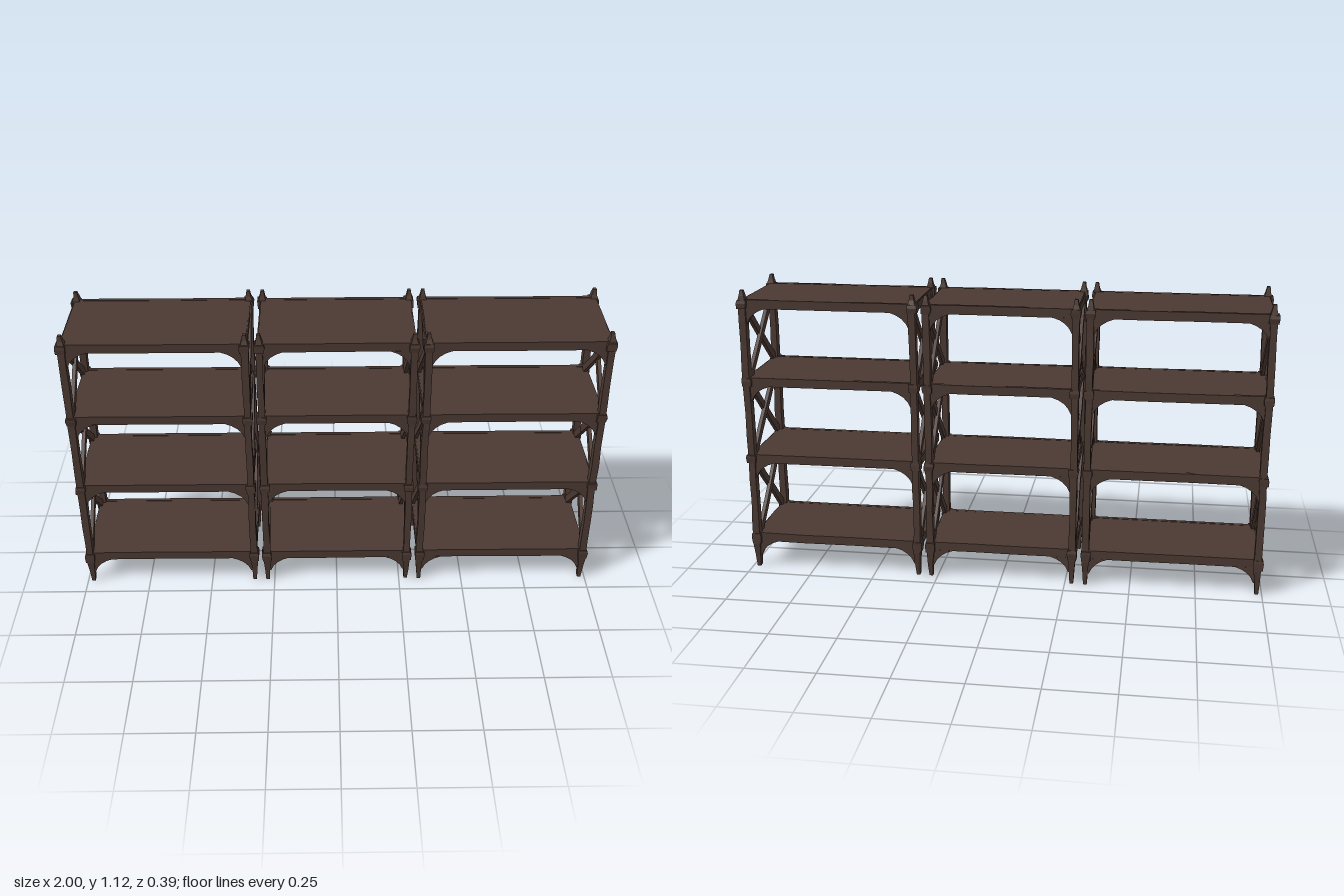
import * as THREE from 'three';

const wood = new THREE.MeshStandardMaterial({ color: 0x4b3932 });
wood.name = 'dark wood';

const BAYS = [[-1, -0.308], [-0.298, 0.298], [0.308, 1]];
const SHELF_TOPS = [0.145, 0.473, 0.782, 1.084];
const THICK = 0.034;
const POST_Z = 0.172;

// Seeded noise in -1..1, so rough timber always comes out the same
let seed = 7;
const noise = () => {
  seed = (seed * 16807) % 2147483647;
  return (seed / 2147483647) * 2 - 1;
};

function add(parent, geometry, name, x = 0, y = 0, z = 0) {
  const mesh = new THREE.Mesh(geometry, wood);
  mesh.name = name;
  mesh.position.set(x, y, z);
  parent.add(mesh);
  return mesh;
}

// Rough square timber along y, from rows of [y, width x, width z]
function timber(rows, rough = 0.0015) {
  const geo = new THREE.BoxGeometry(1, 1, 1, 1, rows.length - 1, 1);
  const shift = rows.map(() => [noise() * rough, noise() * rough]);
  const p = geo.attributes.position;
  for (let i = 0; i < p.count; i++) {
    const k = Math.round((p.getY(i) + 0.5) * (rows.length - 1));
    const [y, wx, wz] = rows[k];
    p.setXYZ(i, p.getX(i) * wx + shift[k][0], y, p.getZ(i) * wz + shift[k][1]);
  }
  const flat = geo.toNonIndexed();
  flat.computeVertexNormals();
  return flat;
}

// Post with a tapered foot, knotty shaft and small pointed top
function postGeometry() {
  const rows = [[0.005, 0.014, 0.02], [0.055, 0.02, 0.026], [0.1, 0.027, 0.036]];
  for (let y = 0.19; y < 1.04; y += 0.09) rows.push([y, 0.026 + noise() * 0.002, 0.034 + noise() * 0.002]);
  rows.push([1.085, 0.027, 0.032], [1.1, 0.019, 0.023], [1.12, 0.012, 0.015]);
  return timber(rows);
}

// Curved corner bracket, drawn with its corner at the origin
function bracketGeometry(side) {
  const s = new THREE.Shape();
  s.moveTo(0, 0);
  s.lineTo(side * 0.088, 0);
  s.quadraticCurveTo(side * 0.03, -0.015, side * 0.014, -0.062);
  s.lineTo(0, -0.062);
  return new THREE.ExtrudeGeometry(s, { depth: 0.018, bevelEnabled: false, curveSegments: 4 });
}

// Diagonal brace in the plane of a bay's end
function brace(parent, x, z0, y0, z1, y1) {
  const len = Math.hypot(z1 - z0, y1 - y0);
  const rows = [-0.5, -0.2, 0.15, 0.5].map((t) => [t * len, 0.014, 0.029 + noise() * 0.002]);
  const mesh = add(parent, timber(rows), 'crossBrace', x, (y0 + y1) / 2, (z0 + z1) / 2);
  mesh.rotation.x = Math.atan2(z1 - z0, y1 - y0);
}

function buildBay(x0, x1) {
  const bay = new THREE.Group();
  bay.name = 'shelfBay';
  const mid = (x0 + x1) / 2;
  const width = x1 - x0;

  // Shelves with front and back rails
  for (const top of SHELF_TOPS) {
    add(bay, new THREE.BoxGeometry(width - 0.032, 0.024, 0.35), 'shelf', mid, top - 0.012, 0);
    for (const sz of [-1, 1]) {
      const rail = timber([-0.5, -0.2, 0.1, 0.5].map((t) => [t * (width - 0.04), THICK, 0.016]), 0.001);
      rail.rotateZ(Math.PI / 2);
      add(bay, rail, 'longRail', mid, top - THICK / 2 + 0.001, sz * 0.172);
    }
  }

  for (const side of [1, -1]) {
    const x = (side === 1 ? x0 : x1) + side * 0.021;

    for (const sz of [-1, 1]) {
      add(bay, postGeometry(), 'post', x, 0, sz * POST_Z);
      for (const top of SHELF_TOPS) {
        // Joint block and brackets
        const low = top === SHELF_TOPS[0] ? 0.04 : 0.032;
        const block = timber([[-low, 0.034, 0.04], [-0.012, 0.038, 0.044], [0, 0.034, 0.042]], 0.002);
        add(bay, block, 'jointBlock', x, top, sz * POST_Z);
        add(bay, bracketGeometry(side), 'bracket', x, top - THICK + 0.002, sz * 0.171 - 0.009);
      }
    }

    // End rails and crossed braces
    for (const top of SHELF_TOPS) {
      const rail = timber([-0.17, -0.06, 0.07, 0.17].map((t) => [t, 0.018, 0.032 + noise() * 0.002]), 0.001);
      rail.rotateX(Math.PI / 2);
      add(bay, rail, 'endRail', x, top - 0.018, 0);
    }
    for (let i = 0; i < 3; i++) {
      const y0 = SHELF_TOPS[i] - 0.005;
      const y1 = SHELF_TOPS[i + 1] - 0.02;
      brace(bay, x - 0.004, -0.156, y0, 0.156, y1);
      brace(bay, x + 0.004, 0.156, y0, -0.156, y1);
    }
  }
  return bay;
}

export function createModel() {
  seed = 7;
  const model = new THREE.Group();
  model.name = 'shelvingUnit';
  for (const [x0, x1] of BAYS) model.add(buildBay(x0, x1));
  return model;
}
